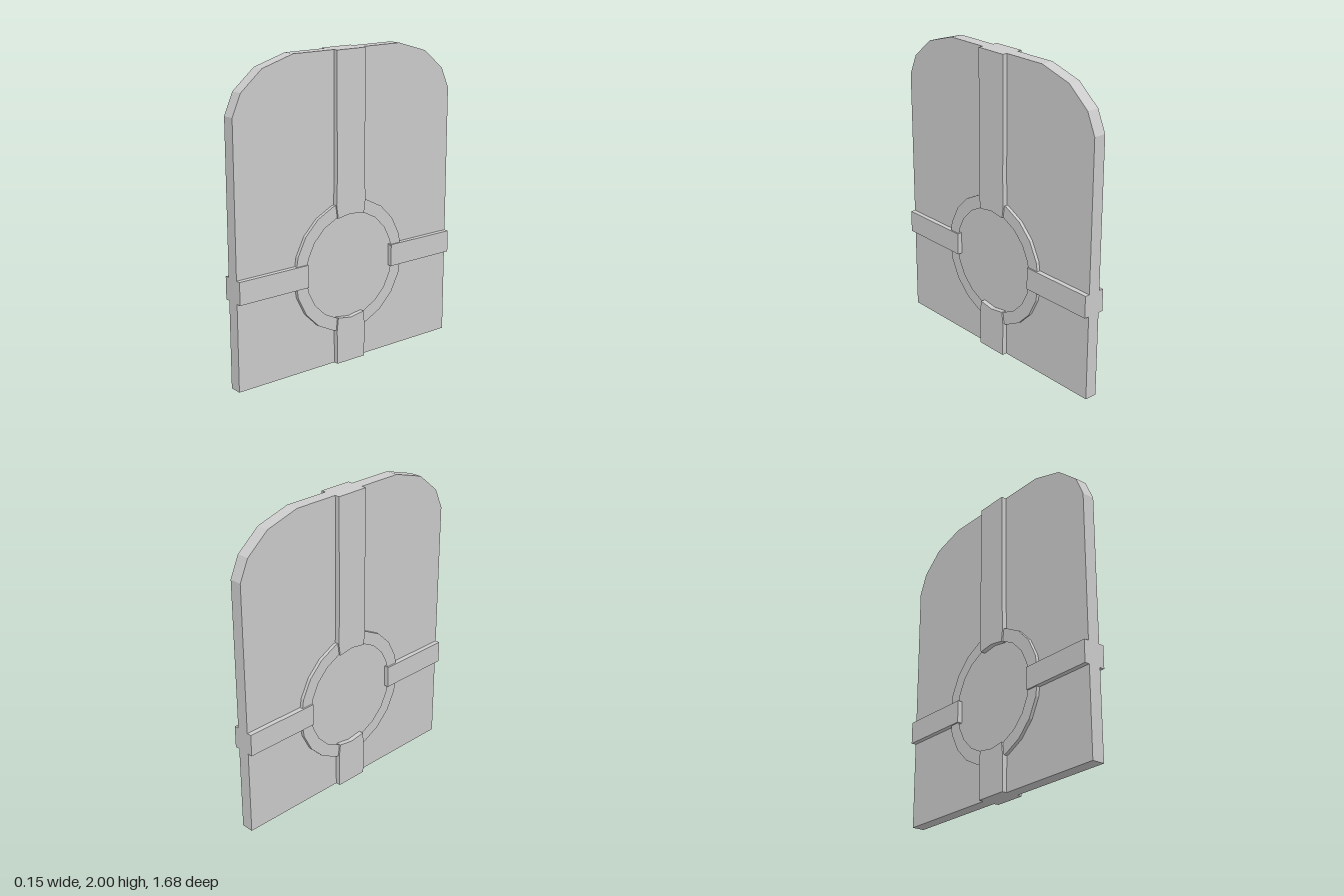
import * as THREE from 'three';

const SLAB = 0.041;   // half thickness of the panel
const BAND = 0.073;   // outer face of the raised bands
const RING = 0.063;   // outer face of the ring
const CY = 0.635;     // ring centre height
const R_IN = 0.345, R_OUT = 0.428, SIDES = 20;

const material = new THREE.MeshStandardMaterial({ color: 0xcccccc, flatShading: true });

const toShape = (pts) => new THREE.Shape(pts.map(([z, y]) => new THREE.Vector2(-z, y)));

// Extrudes a [z, y] outline between two x positions
function plate(name, shape, x0, x1) {
  const geo = new THREE.ExtrudeGeometry(shape, { depth: x1 - x0, bevelEnabled: false });
  geo.translate(0, 0, x0).rotateY(Math.PI / 2);
  const mesh = new THREE.Mesh(geo, material);
  mesh.name = name;
  return mesh;
}

// Mirrors a half outline across z = 0
const mirrored = (half) => [...half, ...half.filter(([z]) => z > 0).reverse().map(([z, y]) => [-z, y])];

const circle = (r) => Array.from({ length: SIDES }, (_, i) => {
  const a = (i / SIDES) * Math.PI * 2;
  return [r * Math.cos(a), CY + r * Math.sin(a)];
});

export function createModel() {
  const group = new THREE.Group();
  group.name = 'shieldPanel';

  // Panel with faceted upper corners
  const panel = mirrored([[0.84, 0], [0.84, 1.675], [0.78, 1.81], [0.63, 1.935], [0.41, 2]]);
  group.add(plate('panel', toShape(panel), -SLAB, SLAB));

  // Raised outlines, repeated on both faces
  const ring = toShape(circle(R_OUT));
  ring.holes.push(toShape(circle(R_IN)));
  const upper = toShape(mirrored([[0, 0.978], [0.103, 0.962], [0.115, 1.05], [0.11, 1.2], [0.11, 2]]));
  const lower = toShape(mirrored([[0, 0.292], [0.103, 0.308], [0.113, 0.22], [0.11, 0]]));
  const arm = (s) => toShape([[s * 0.335, 0.563], [s * 0.84, 0.563], [s * 0.84, 0.708], [s * 0.335, 0.708]]);

  for (const [side, s] of [['left', 1], ['right', -1]]) {
    const face = new THREE.Group();
    face.name = side + 'Face';
    const raise = (name, shape, top) =>
      face.add(plate(name, shape, Math.min(s * SLAB, s * top), Math.max(s * SLAB, s * top)));
    raise('ring', ring, RING);
    raise('upperBand', upper, BAND);
    raise('lowerBand', lower, BAND);
    raise('frontBand', arm(1), BAND);
    raise('backBand', arm(-1), BAND);
    group.add(face);
  }
  return group;
}
